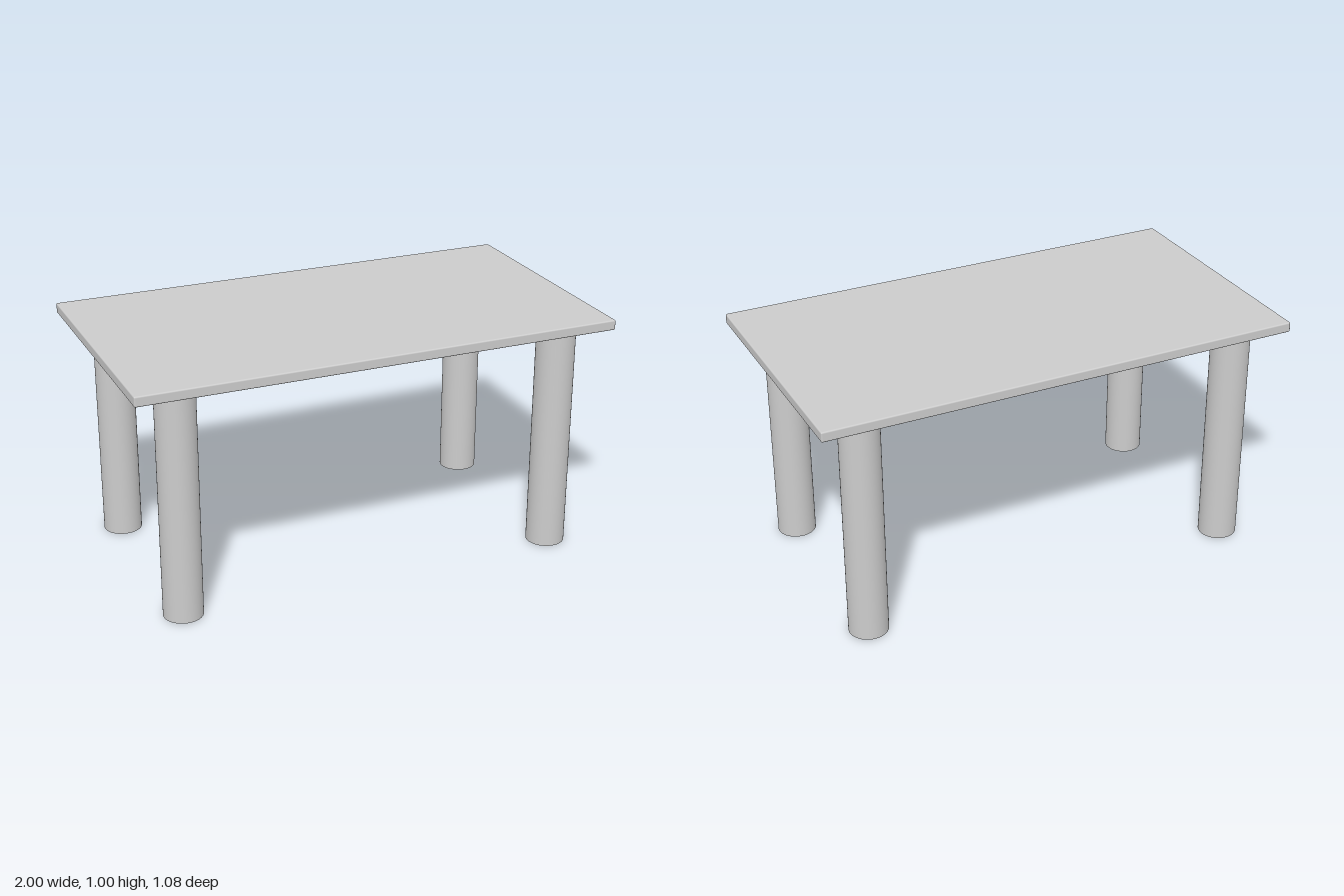
import * as THREE from 'three';
import { RoundedBoxGeometry } from 'three/addons/geometries/RoundedBoxGeometry.js';

export function createModel() {
  const table = new THREE.Group();
  table.name = 'table';
  const grey = new THREE.MeshStandardMaterial({ color: 0xcccccc });
  grey.name = 'light grey';

  const height = 1, topThickness = 0.042;
  const legHeight = height - topThickness;

  // Thin slab with slightly eased edges
  const top = new THREE.Mesh(new RoundedBoxGeometry(2, topThickness, 1.08, 2, 0.006), grey);
  top.name = 'tabletop';
  top.position.y = height - topThickness / 2;
  table.add(top);

  // Four round legs, set in from the corners
  const legGeometry = new THREE.CylinderGeometry(0.08, 0.08, legHeight, 48);
  for (const [xName, x] of [['Left', 0.807], ['Right', -0.807]]) {
    for (const [zName, z] of [['front', 0.406], ['back', -0.406]]) {
      const leg = new THREE.Mesh(legGeometry, grey);
      leg.name = `${zName}${xName}Leg`;
      leg.position.set(x, legHeight / 2, z);
      table.add(leg);
    }
  }
  return table;
}
